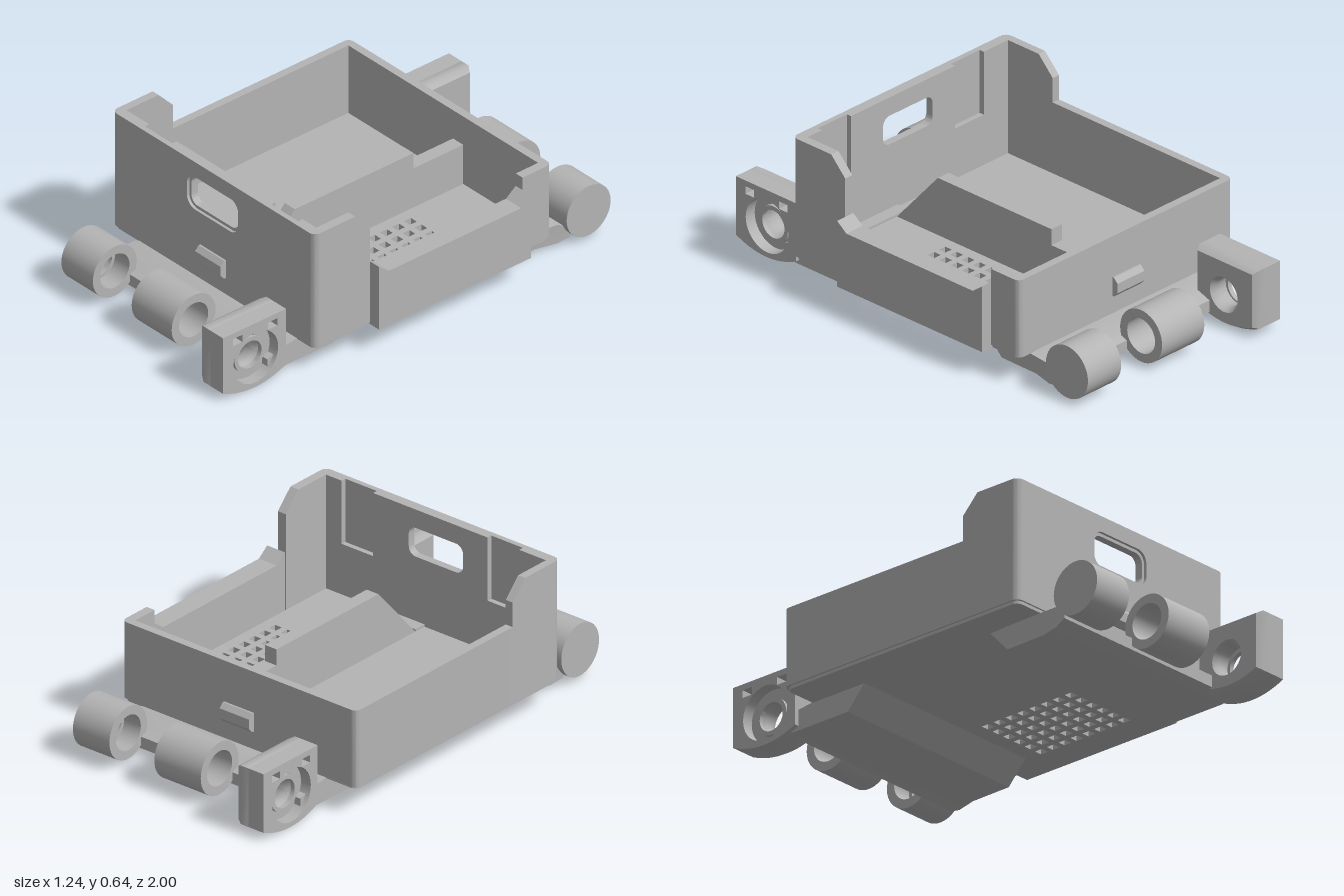
import * as THREE from 'three';
import { toCreasedNormals } from 'three/addons/utils/BufferGeometryUtils.js';

const grey = new THREE.MeshStandardMaterial({ color: 0xb4b4b4 });
grey.name = 'plainGrey';

function add(parent, name, geometry) {
  const g = geometry.index ? geometry.toNonIndexed() : geometry;
  const mesh = new THREE.Mesh(toCreasedNormals(g, 0.6), grey);
  mesh.name = name;
  parent.add(mesh);
  return mesh;
}

function polygon(points) {
  return new THREE.Shape(points.map(([a, b]) => new THREE.Vector2(a, b)));
}

function roundedRect(x0, y0, x1, y1, r, Type = THREE.Shape) {
  const s = new Type();
  s.absarc(x1 - r, y0 + r, r, -Math.PI / 2, 0);
  s.absarc(x1 - r, y1 - r, r, 0, Math.PI / 2);
  s.absarc(x0 + r, y1 - r, r, Math.PI / 2, Math.PI);
  s.absarc(x0 + r, y0 + r, r, Math.PI, Math.PI * 1.5);
  s.closePath();
  return s;
}

function extrude(shape, depth, options = {}) {
  return new THREE.ExtrudeGeometry(shape, { depth, bevelEnabled: false, curveSegments: 8, ...options });
}

// Shape drawn in (-z, y), swept from x0 to x1
function alongX(shape, x0, x1, options) {
  return extrude(shape, x1 - x0, options).rotateY(Math.PI / 2).translate(x0, 0, 0);
}
const sideProfile = (points) => polygon(points.map(([z, y]) => [-z, y]));

// Shape drawn in (x, -z), swept from y0 to y1
function alongY(shape, y0, y1) {
  return extrude(shape, y1 - y0).rotateX(-Math.PI / 2).translate(0, y0, 0);
}

function buildTray() {
  const tray = new THREE.Group();
  tray.name = 'tray';

  // Floor with a grid of square drain holes
  const floor = roundedRect(-0.612, -0.602, 0.562, 0.602, 0.03);
  for (let i = 0; i < 6; i++) {
    for (let j = 0; j < 8; j++) {
      const x = 0.157 + i * 0.0615, z = -0.245 + j * 0.0615, h = 0.0175;
      floor.holes.push(polygon([[x - h, -z - h], [x - h, -z + h], [x + h, -z + h], [x + h, -z - h]]));
    }
  }
  add(tray, 'floor', alongY(floor, 0.115, 0.15));

  // Low wall round the closed side, the back and the rear corner of the open side
  const r = 0.03;
  const wall = new THREE.Shape();
  wall.moveTo(-0.62, -0.33);
  wall.lineTo(-0.62, 0.61 - r);
  wall.quadraticCurveTo(-0.62, 0.61, -0.62 + r, 0.61);
  wall.lineTo(0.57 - r, 0.61);
  wall.quadraticCurveTo(0.57, 0.61, 0.57, 0.61 - r);
  wall.lineTo(0.57, 0.46);
  wall.lineTo(0.53, 0.46);
  wall.lineTo(0.53, 0.575);
  wall.lineTo(-0.585, 0.575);
  wall.lineTo(-0.585, -0.33);
  wall.closePath();
  add(tray, 'lowWall', alongY(wall, 0.128, 0.46));

  // High front wall in three layers: flared handle rim, core, notched inside
  const x0 = -0.59, x1 = 0.54, bottom = 0.128, top = 0.645;
  const layers = [
    { z: 0.598, depth: 0.012, grow: 0.013, notched: false },
    { z: 0.587, depth: 0.011, grow: 0, notched: false },
    { z: 0.565, depth: 0.022, grow: 0, notched: true },
  ];
  for (const { z, depth, grow, notched } of layers) {
    const points = [[x0, bottom], [x1, bottom], [x1, top]];
    if (notched) {
      for (const x of [0.37, -0.37]) {
        points.push([x + 0.08, top], [x + 0.08, 0.37], [x - 0.08, 0.37], [x - 0.08, top]);
      }
    }
    points.push([x0, top]);
    const shape = polygon(points);
    shape.holes.push(roundedRect(-0.165 - grow, 0.44 - grow, 0.11 + grow, 0.565 + grow, 0.035 + grow, THREE.Path));
    add(tray, 'frontWall', extrude(shape, depth).translate(0, 0, z));
  }

  // Shoulders and rounded front corners
  const shoulder = sideProfile([[0.58, bottom], [0.58, top], [0.4, top], [0.325, 0.567], [0.325, bottom]]);
  add(tray, 'rightShoulder', alongX(shoulder, -0.62, -0.585));
  add(tray, 'leftShoulder', alongX(shoulder, 0.53, 0.57));
  for (const [x, start] of [[-0.59, -Math.PI / 2], [0.54, 0]]) {
    const corner = new THREE.CylinderGeometry(0.03, 0.03, top - bottom, 8, 1, false, start, Math.PI / 2);
    add(tray, 'frontCorner', corner.translate(x, (top + bottom) / 2, 0.58));
  }

  // Protruding loading panel on the open side
  const panel = sideProfile([[0.32, 0.115], [0.32, 0.403], [0.27, 0.365], [-0.41, 0.365], [-0.46, 0.403], [-0.46, 0.115]]);
  add(tray, 'sidePanel', alongX(panel, 0.53, 0.62));

  // Inner divider with a sloped front end, and a low floor step
  const divider = sideProfile([[-0.577, 0.14], [-0.577, 0.33], [-0.32, 0.33], [-0.32, 0.4], [0.29, 0.4], [0.51, 0.15], [0.51, 0.14]]);
  add(tray, 'divider', alongX(divider, 0.03, 0.09));
  add(tray, 'floorStep', new THREE.BoxGeometry(0.28, 0.02, 0.06).translate(0.17, 0.15, 0.54));

  // Bevelled latch bumps on front and back
  for (const s of [1, -1]) {
    const bump = [[0.6, 0.2], [0.618, 0.2], [0.637, 0.22], [0.637, 0.262], [0.618, 0.282], [0.6, 0.282]];
    add(tray, 'latchBump', alongX(sideProfile(bump.map(([z, y]) => [z * s, y])), -0.1, 0.05));
  }
  return tray;
}

// Profile revolved round the x axis, centred on the hinge line
function hingeLathe(points, x) {
  const profile = points.map(([rad, y]) => new THREE.Vector2(rad, y));
  return new THREE.LatheGeometry(profile, 40).rotateZ(-Math.PI / 2).translate(x, 0.133, 0.832);
}

// Coupling bracket: one at the front, one turned round at the back
function buildCoupling() {
  const group = new THREE.Group();

  // Wedge plate under the tray, flaring outwards at one end
  const plate = alongX(sideProfile([[0.33, 0.118], [0.6, 0.118], [0.7, 0.105], [0.755, 0.085], [0.755, 0.035], [0.7, 0.02], [0.61, 0.02], [0.42, 0.02]]), -0.47, 0.46);
  const pos = plate.attributes.position;
  for (let i = 0; i < pos.count; i++) {
    if (pos.getX(i) < 0 && pos.getZ(i) > 0.6) pos.setX(i, pos.getX(i) - (pos.getZ(i) - 0.6) * 0.27);
  }
  add(group, 'couplingPlate', plate);

  // Open middle sleeve and end sleeve with a blind bore
  const R = 0.113, b = 0.075;
  add(group, 'middleSleeve', hingeLathe([[b, 0], [R, 0], [R, 0.235], [b, 0.235], [b, 0]], -0.12));
  add(group, 'endSleeve', hingeLathe([[0, 0], [R, 0], [R, 0.185], [b, 0.185], [b, 0.1], [0.06, 0.1], [0.06, 0.04], [0, 0.04]], -0.533));

  // Square bearing block with curved underside, bore, recess and two pockets
  const outline = () => {
    const s = new THREE.Shape();
    s.moveTo(-1, 0.04);
    s.quadraticCurveTo(-0.837, -0.036, -0.677, 0.04);
    s.lineTo(-0.677, 0.295);
    s.lineTo(-1, 0.295);
    s.closePath();
    return s;
  };
  const circle = (rad) => new THREE.Path().absarc(-0.832, 0.138, rad, 0, Math.PI * 2);
  const inner = outline();
  inner.holes.push(circle(0.06));
  const bevel = { bevelEnabled: true, bevelSize: 0.015, bevelThickness: 0.025, bevelOffset: -0.015, bevelSegments: 1, curveSegments: 20 };
  add(group, 'bearingBlock', alongX(inner, 0.365, 0.405, bevel));
  const outer = outline();
  outer.holes.push(circle(0.115));
  for (const z of [0.925, 0.745]) {
    outer.holes.push(polygon([[-z - 0.024, 0.237], [-z + 0.024, 0.237], [-z + 0.024, 0.27], [-z - 0.024, 0.27]]));
  }
  add(group, 'bearingRim', alongX(outer, 0.4, 0.48, { curveSegments: 20 }));
  add(group, 'bearingRing', hingeLathe([[0.06, 0], [0.078, 0], [0.078, 0.02], [0.06, 0.02], [0.06, 0]], 0.425));
  return group;
}

export function createModel() {
  const model = new THREE.Group();
  model.name = 'stackableTray';
  model.add(buildTray());
  const front = buildCoupling();
  front.name = 'frontCoupling';
  const back = buildCoupling();
  back.name = 'backCoupling';
  back.rotation.y = Math.PI;
  model.add(front, back);
  return model;
}
